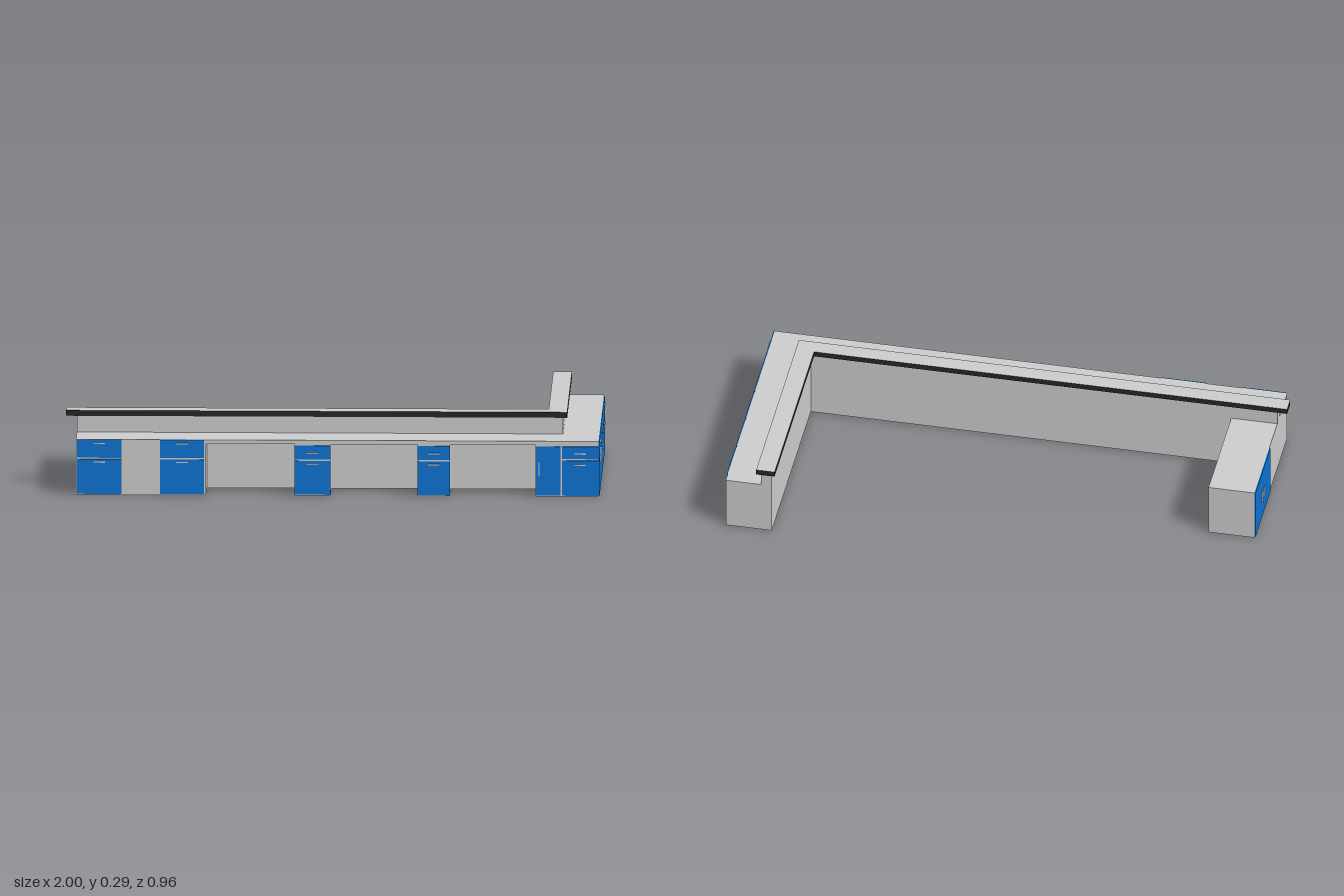
import * as THREE from 'three';

const grey = new THREE.MeshStandardMaterial({ color: 0xcccccc });
const blue = new THREE.MeshStandardMaterial({ color: 0x0d72d0 });
const black = new THREE.MeshStandardMaterial({ color: 0x262626 });

// Box given by its min and max corners
function block(parent, name, material, x0, x1, y0, y1, z0, z1) {
  const mesh = new THREE.Mesh(new THREE.BoxGeometry(x1 - x0, y1 - y0, z1 - z0), material);
  mesh.position.set((x0 + x1) / 2, (y0 + y1) / 2, (z0 + z1) / 2);
  mesh.name = name;
  parent.add(mesh);
  return mesh;
}

// L-shaped plan: long run along x, arm running back along -z on the model's left
function lShape(name, material, xEnd, xIn, xOut, zBack, zIn, zOut, y0, y1) {
  const pts = [[xEnd, zOut], [xOut, zOut], [xOut, zBack], [xIn, zBack], [xIn, zIn], [xEnd, zIn]];
  const shape = new THREE.Shape(pts.map(([x, z]) => new THREE.Vector2(x, -z)));
  const geo = new THREE.ExtrudeGeometry(shape, { depth: y1 - y0, bevelEnabled: false });
  geo.rotateX(-Math.PI / 2);
  const mesh = new THREE.Mesh(geo, material);
  mesh.position.y = y0;
  mesh.name = name;
  return mesh;
}

// Row of fronts lying in the local xy plane, facing local +z
const T = 0.004;
function handle(parent, x, y, vertical) {
  const w = vertical ? 0.004 : 0.044, h = vertical ? 0.05 : 0.004;
  block(parent, 'handle', grey, x - w / 2, x + w / 2, y - h / 2, y + h / 2, T, T + 0.005);
}
function drawerFront(parent, x0, x1, top, split, upperHandle, lowerHandle) {
  const c = (x0 + x1) / 2;
  block(parent, 'lowerFront', blue, x0, x1, 0.004, split - 0.003, 0, T);
  block(parent, 'drawerFront', blue, x0, x1, split + 0.003, top, 0, T);
  handle(parent, c, upperHandle, false);
  handle(parent, c, lowerHandle, false);
}
function door(parent, x0, x1, top, handleX, handleY) {
  block(parent, 'door', blue, x0, x1, 0.004, top, 0, T);
  handle(parent, handleX, handleY, true);
}

export function createModel() {
  const model = new THREE.Group();
  model.name = 'receptionCounter';
  const H = 0.21, F = 0.473, WZ = 0.327, WX = 0.855;

  // Upright back wall and the raised ledge on it
  model.add(lShape('backWall', grey, -0.96, 0.815, WX, -0.46, 0.283, WZ, 0, 0.273));
  model.add(lShape('raisedLedge', [grey, black], -1, 0.80, 0.87, -0.482, 0.27, 0.33, 0.272, 0.293));

  // Cabinet bodies and worktop
  block(model, 'rightCabinet', grey, -0.96, -0.475, 0, H, WZ, F);
  block(model, 'rightWing', grey, -0.96, -0.785, 0, H, -0.15, 0.283);
  block(model, 'cornerCabinet', grey, 0.755, 0.99, 0, H, WZ, F);
  block(model, 'leftArmCabinet', grey, WX, 0.99, 0, H, -0.46, WZ);
  block(model, 'worktop', grey, -0.475, 0.755, 0.195, H, WZ, F);
  for (const [x0, x1] of [[-0.145, -0.01], [0.315, 0.435]]) {
    block(model, 'pedestal', grey, x0, x1, 0, 0.195, WZ, F);
  }

  // Front side
  const front = new THREE.Group();
  front.name = 'frontFronts';
  front.position.z = F;
  drawerFront(front, -0.957, -0.79, H, 0.138, 0.196, 0.125);
  drawerFront(front, -0.647, -0.482, H, 0.138, 0.196, 0.125);
  drawerFront(front, -0.145, -0.01, 0.19, 0.135, 0.162, 0.12);
  drawerFront(front, 0.315, 0.435, 0.19, 0.135, 0.162, 0.12);
  door(front, 0.757, 0.848, 0.19, 0.768, 0.105);
  drawerFront(front, 0.853, 0.99, 0.19, 0.14, 0.163, 0.12);
  model.add(front);

  // Outer side of the arm (local x runs along -z)
  const arm = new THREE.Group();
  arm.name = 'armFronts';
  arm.position.x = 0.99;
  arm.rotation.y = Math.PI / 2;
  drawerFront(arm, -0.476, -0.329, H, 0.138, 0.196, 0.124);
  door(arm, -0.325, -0.269, H, -0.275, 0.128);
  for (let i = 0; i < 4; i++) {
    const x = -0.265 + i * 0.1728;
    drawerFront(arm, x, x + 0.167, H, 0.138, 0.196, 0.124);
  }
  model.add(arm);

  // Outer side of the wing (local x runs along +z)
  const wing = new THREE.Group();
  wing.name = 'wingFronts';
  wing.position.x = -0.96;
  wing.rotation.y = -Math.PI / 2;
  door(wing, -0.148, -0.012, H, -0.025, 0.1);
  door(wing, -0.008, 0.13, H, 0.005, 0.1);
  model.add(wing);

  return model;
}
